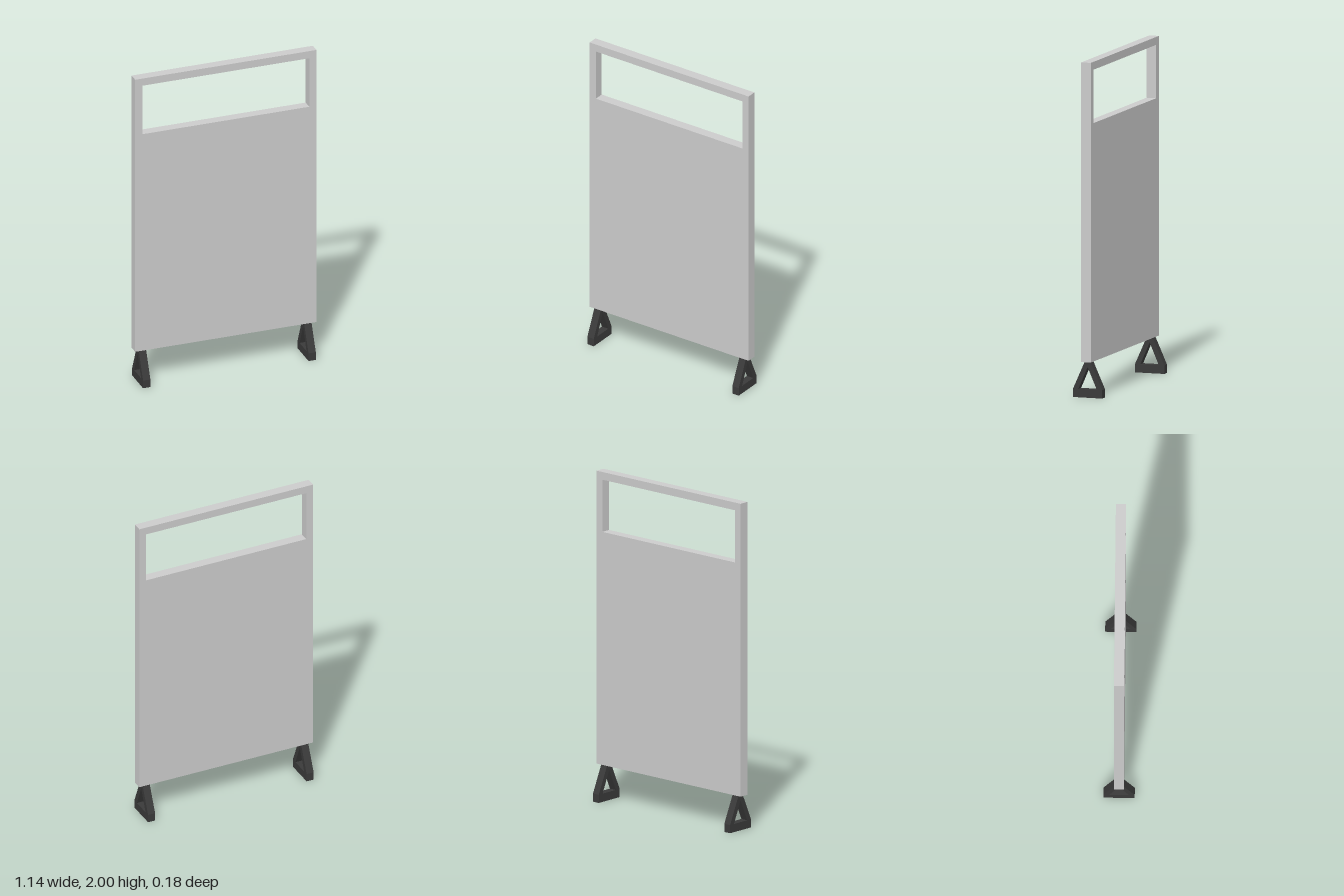
import * as THREE from 'three';

const polygon = (Type, points) => new Type(points.map(([x, y]) => new THREE.Vector2(x, y)));
const rectangle = (w, y0, y1) => [[-w, y0], [w, y0], [w, y1], [-w, y1]];

// Plate with an optional cut-out, centred on z
function plate(outline, opening, depth) {
  const shape = polygon(THREE.Shape, outline);
  shape.holes.push(polygon(THREE.Path, opening));
  return new THREE.ExtrudeGeometry(shape, { depth, bevelEnabled: false }).translate(0, 0, -depth / 2);
}

export function createModel() {
  const model = new THREE.Group();
  const grey = new THREE.MeshStandardMaterial({ color: 0xcccccc });
  const black = new THREE.MeshStandardMaterial({ color: 0x3a3a3a });

  // Upright board with a window near the top
  const panel = new THREE.Mesh(
    plate(rectangle(0.57, 0.215, 2), rectangle(0.525, 1.635, 1.953), 0.06), grey);
  panel.name = 'panel';
  model.add(panel);

  // Triangular feet, profile turned to lie along z
  const footGeometry = plate(
    [[-0.092, 0], [0.092, 0], [0.092, 0.05], [0.018, 0.215], [-0.018, 0.215], [-0.092, 0.05]],
    [[-0.058, 0.05], [0.058, 0.05], [0, 0.183]], 0.046).rotateY(Math.PI / 2);
  for (const side of [-1, 1]) {
    const foot = new THREE.Mesh(footGeometry, black);
    foot.name = side > 0 ? 'leftFoot' : 'rightFoot';
    foot.position.x = side * 0.52;
    model.add(foot);
  }
  return model;
}
